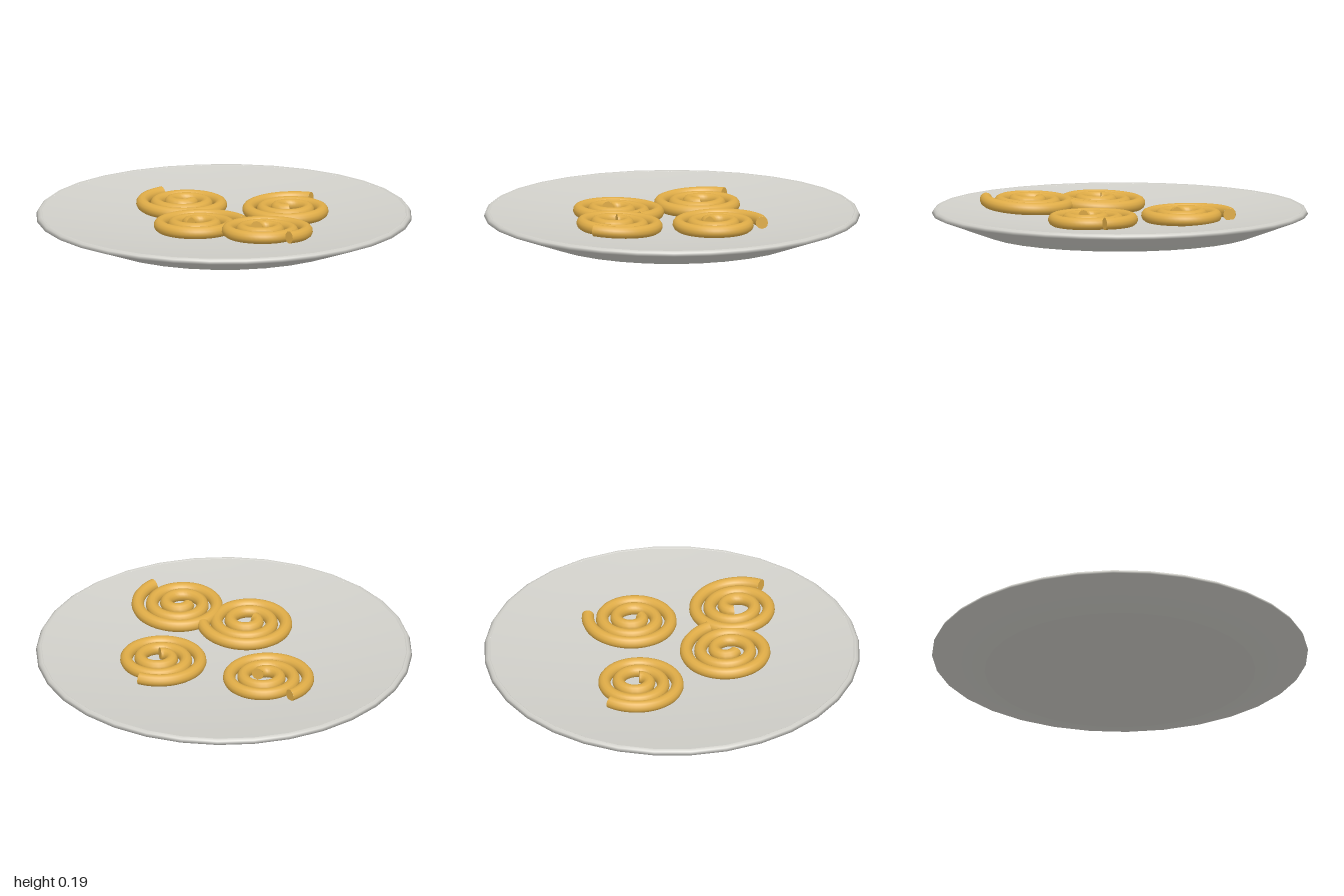
import * as THREE from 'three';

const plateGrey = new THREE.MeshStandardMaterial({ name: 'plate grey', color: 0xd0cfc9 });
const goldenDough = new THREE.MeshStandardMaterial({ name: 'golden dough', color: 0xdfac47 });

const TUBE = 0.033;
const TURNS = 2.57;

// Spiral from a slightly raised middle to a slightly lifted tail at angle 0
class Spiral extends THREE.Curve {
  getPoint(t, target = new THREE.Vector3()) {
    const angle = (t - 1) * TURNS * Math.PI * 2;
    const r = 0.045 + 0.195 * t;
    const y = 0.012 * t ** 8 + 0.016 * (1 - t) ** 2;
    return target.set(r * Math.cos(angle), y, r * Math.sin(angle));
  }
}

function lathe(name, profile) {
  const points = profile.map(([r, y]) => new THREE.Vector2(r, y));
  const mesh = new THREE.Mesh(new THREE.LatheGeometry(points, 32), plateGrey);
  mesh.name = name;
  return mesh;
}

function createPlate() {
  const plate = new THREE.Group();
  plate.name = 'plate';
  // Shallow dish surface, from the rim down to the middle
  const dish = [];
  for (let i = 8; i >= 0; i--) {
    const r = 0.97 * i / 8;
    dish.push([r, 0.052 + 0.077 * r * r]);
  }
  plate.add(
    lathe('plateBase', [[0, 0], [0.72, 0]]),
    lathe('plateSideAndRim', [[0.72, 0], [1, 0.103], [0.992, 0.12], [0.978, 0.13], [0.97, 0.1245]]),
    lathe('plateDish', dish)
  );
  return plate;
}

function createPastry(name, x, y, z, tailDegrees, slopeX, slopeZ) {
  const curve = new Spiral();
  const spiral = new THREE.Group();
  const coil = new THREE.Mesh(new THREE.TubeGeometry(curve, 110, TUBE, 12), goldenDough);
  coil.name = 'coil';
  spiral.add(coil);
  // Flat cut ends
  for (const [t, sign] of [[0, -1], [1, 1]]) {
    const cap = new THREE.Mesh(new THREE.CircleGeometry(TUBE, 12), goldenDough);
    cap.name = t ? 'tailEnd' : 'innerEnd';
    cap.position.copy(curve.getPoint(t));
    const dir = curve.getTangent(t).multiplyScalar(sign);
    cap.quaternion.setFromUnitVectors(new THREE.Vector3(0, 0, 1), dir);
    spiral.add(cap);
  }
  spiral.name = 'spiral';
  spiral.rotation.y = -THREE.MathUtils.degToRad(tailDegrees);

  // Lean of the whole pastry
  const pastry = new THREE.Group();
  pastry.name = name;
  pastry.add(spiral);
  pastry.position.set(x, y, z);
  pastry.rotation.set(-slopeZ, 0, slopeX);
  return pastry;
}

export function createModel() {
  const model = new THREE.Group();
  model.name = 'plateOfSpiralPastries';
  model.add(
    createPlate(),
    createPastry('backRightPastry', -0.31, 0.094, -0.155, -148, 0, 0),
    createPastry('backLeftPastry', 0.268, 0.112, -0.235, -88, 0, 0),
    createPastry('frontMiddlePastry', 0, 0.124, 0.303, -32, 0.02, 0.03),
    createPastry('frontLeftPastry', 0.39, 0.14, 0.302, 29, 0.01, 0.04)
  );
  return model;
}
